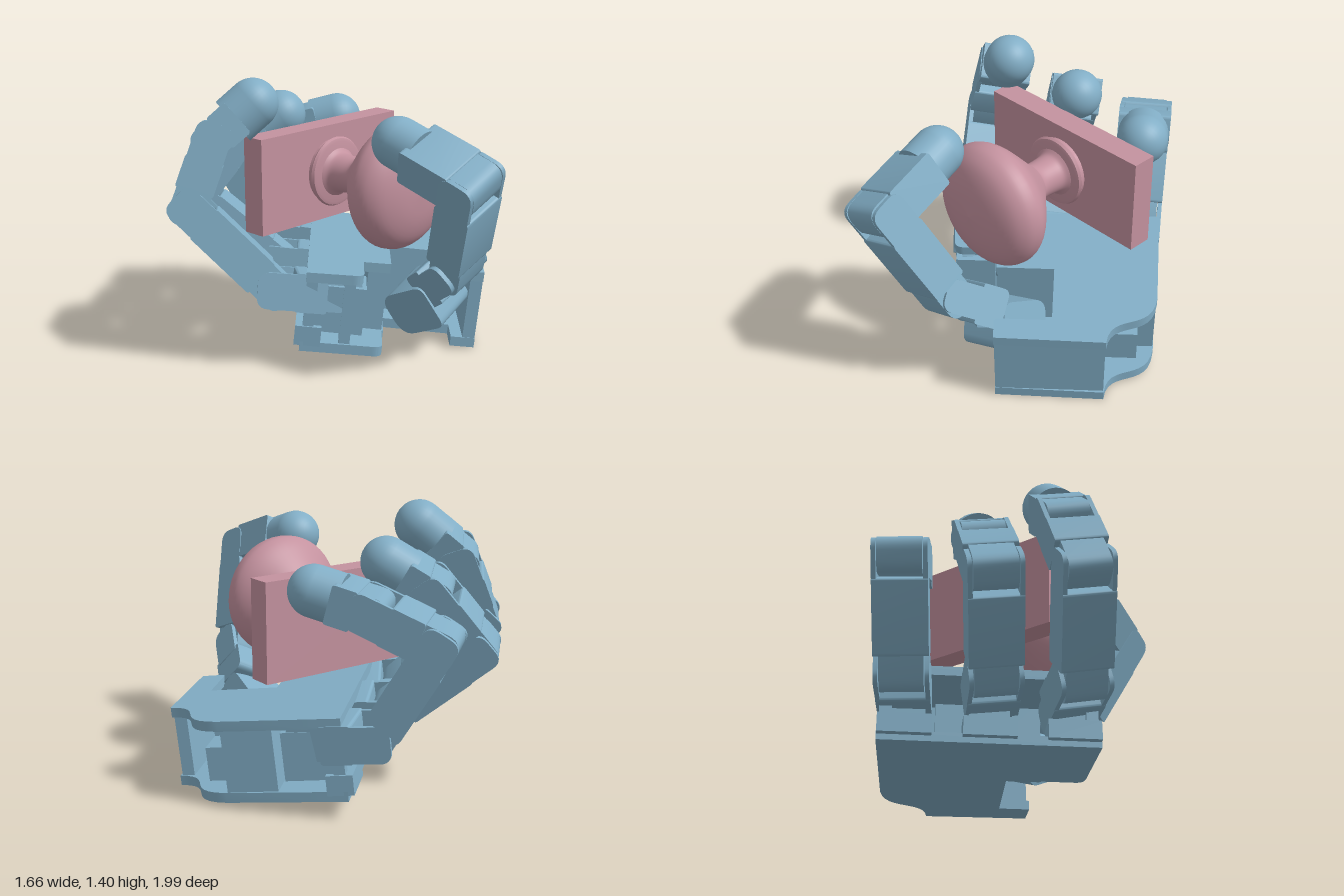
import * as THREE from 'three';
import { toCreasedNormals } from 'three/addons/utils/BufferGeometryUtils.js';

const blue = new THREE.MeshStandardMaterial({ color: 0x82aec6 });
const pink = new THREE.MeshStandardMaterial({ color: 0xc4929f });
const V = (x, y, z) => new THREE.Vector3(x, y, z);

function add(parent, name, geometry, material = blue, x = 0, y = 0, z = 0) {
  const mesh = new THREE.Mesh(geometry, material);
  mesh.name = name;
  mesh.position.set(x, y, z);
  parent.add(mesh);
  return mesh;
}

// box given by its min and max corners
function span(parent, name, x0, x1, y0, y1, z0, z1, material = blue) {
  return add(parent, name, new THREE.BoxGeometry(x1 - x0, y1 - y0, z1 - z0), material,
    (x0 + x1) / 2, (y0 + y1) / 2, (z0 + z1) / 2);
}

// slab along y with rounded ends, thickness t in x, width w in z
function slab(y0, y1, t, w, r0, r1) {
  const h = t / 2, s = new THREE.Shape();
  s.moveTo(-h + r0, y0);
  s.lineTo(h - r0, y0);
  s.quadraticCurveTo(h, y0, h, y0 + r0);
  s.lineTo(h, y1 - r1);
  s.quadraticCurveTo(h, y1, h - r1, y1);
  s.lineTo(-h + r1, y1);
  s.quadraticCurveTo(-h, y1, -h, y1 - r1);
  s.lineTo(-h, y0 + r0);
  s.quadraticCurveTo(-h, y0, -h + r0, y0);
  const g = new THREE.ExtrudeGeometry(s, { depth: w, bevelEnabled: false, curveSegments: 6 });
  g.translate(0, 0, -w / 2);
  return toCreasedNormals(g, 0.6);
}

// group whose y axis runs from p to q and whose z axis is the hinge axis
function boneGroup(name, p, q, hinge) {
  const g = new THREE.Group();
  g.name = name;
  const d = q.clone().sub(p).normalize();
  const z = hinge.clone().addScaledVector(d, -hinge.dot(d)).normalize();
  const x = d.clone().cross(z);
  g.quaternion.setFromRotationMatrix(new THREE.Matrix4().makeBasis(x, d, z));
  g.position.copy(p);
  return g;
}

// hinge barrel, body and two cheeks that grip the next link
function link(name, p, q, hinge) {
  const g = boneGroup(name, p, q, hinge), L = p.distanceTo(q);
  add(g, 'hingeBarrel', slab(-0.09, 0.16, 0.175, 0.21, 0.07, 0.01));
  add(g, 'body', slab(0.085, L - 0.1, 0.19, 0.262, 0.015, 0.015));
  for (const s of [-1, 1]) {
    add(g, 'cheek', slab(L - 0.2, L + 0.085, 0.18, 0.022, 0.01, 0.06), blue, 0, 0, s * 0.12);
  }
  return g;
}

// last link with its round rubber tip
function tipLink(name, p, q, hinge) {
  const g = boneGroup(name, p, q, hinge), L = p.distanceTo(q), r = 0.125;
  add(g, 'hingeBarrel', slab(-0.09, 0.12, 0.175, 0.21, 0.07, 0.01));
  add(g, 'body', slab(0.05, L - 0.1, 0.19, 0.255, 0.015, 0.015));
  add(g, 'tipCollar', new THREE.CylinderGeometry(r, r, 0.13, 32), blue, 0, L - 0.065, 0);
  add(g, 'tipBall', new THREE.SphereGeometry(r, 32, 20), blue, 0, L, 0);
  return g;
}

// heading: angle of the finger on plan; side: offset across it; lean: sideways tilt
// joints: [forward, height] of the knuckles and tip
function finger(name, heading, side, lean, joints) {
  const g = new THREE.Group();
  g.name = name;
  const f = V(-Math.cos(heading), 0, -Math.sin(heading));
  const l = V(Math.sin(heading), 0, -Math.cos(heading));
  const hinge = l.clone().add(V(0, -lean, 0)).normalize();
  const pts = joints.map(([a, y]) => f.clone().multiplyScalar(a)
    .addScaledVector(l, side + lean * (y - 0.385)).add(V(0, y, 0)));
  const root = pts[0].clone().addScaledVector(f, -0.34).add(V(0, -0.036, 0));
  g.add(link('baseLink', root, pts[0], hinge));
  g.add(link('lowerLink', pts[0], pts[1], hinge));
  g.add(link('middleLink', pts[1], pts[2], hinge));
  g.add(tipLink('tipLink', pts[2], pts[3], hinge));
  return g;
}

// palm plate; x across, z towards the wrist, with a notch for the thumb
// shoulder: how far the full width runs on the thumb side
function plate(notchX, shoulder, thickness) {
  const s = new THREE.Shape();
  s.moveTo(-0.54, 0);
  s.lineTo(0.54, 0);
  s.lineTo(0.51, 0.6);
  s.bezierCurveTo(0.48, 0.84, 0.28, 0.7, 0.26, 0.905);
  s.lineTo(-0.274, 0.895);
  s.lineTo(-0.28, 0.77);
  s.lineTo(notchX, 0.77);
  s.lineTo(notchX, 0.42);
  s.lineTo(-0.29, 0.42);
  s.lineTo(-0.3, shoulder + 0.02);
  s.lineTo(-0.47, shoulder + 0.02);
  s.quadraticCurveTo(-0.52, shoulder + 0.02, -0.52, shoulder - 0.04);
  s.closePath();
  const g = new THREE.ExtrudeGeometry(s, { depth: thickness, bevelEnabled: false, curveSegments: 12 });
  g.rotateX(Math.PI / 2);
  return toCreasedNormals(g, 0.6);
}

function palm() {
  const g = new THREE.Group();
  g.name = 'palm';
  g.position.set(0, 0.375, -0.21);
  g.rotation.set(0.105, 0.756, 0, 'YXZ');
  const top = 0.13, low = -0.28;
  add(g, 'palmPlate', plate(0, 0.26, 0.05), blue, 0, top, 0);
  add(g, 'backPlate', plate(-0.12, 0.39, 0.05), blue, 0, low + 0.05, 0);
  // wrist wall, inner core and side posts
  span(g, 'wristWall', -0.272, 0.258, low + 0.01, top - 0.01, 0.83, 0.893);
  span(g, 'core', 0.02, 0.25, low + 0.02, top - 0.02, 0.3, 0.7);
  span(g, 'sideMotor', 0.25, 0.42, -0.2, -0.03, 0.56, 0.7);
  span(g, 'outerPost', 0.24, 0.507, low + 0.01, top - 0.01, 0.34, 0.59);
  span(g, 'thumbPost', -0.285, 0.1, low + 0.01, top - 0.01, 0.31, 0.41);
  span(g, 'thumbSidePost', -0.515, -0.3, low + 0.01, top - 0.01, 0.19, 0.245);
  for (const s of [-1, 1]) {
    span(g, 'cornerPost', s * 0.5 - 0.03, s * 0.5 + 0.03, low + 0.01, top - 0.01, 0.005, 0.06);
  }
  // finger motors
  for (const x of [-0.409, 0, 0.409]) {
    span(g, 'fingerMotor', x - 0.1, x + 0.1, -0.18, 0.06, 0.03, 0.3);
    span(g, 'motorFoot', x - 0.13, x + 0.13, low + 0.03, -0.15, -0.03, 0.1);
  }
  return g;
}

function thumb() {
  const g = new THREE.Group();
  g.name = 'thumb';
  const hinge = V(0.91, 0.37, 0.03).normalize();
  const root = V(0.22, 0.4, 0.49), knuckle = V(0.13, 0.53, 0.68);
  const bend = V(-0.055, 1.01, 0.89), tip = V(-0.1, 1.15, 0.495);
  // swivel motor lying in the palm notch, with the arm that carries the thumb
  const m = boneGroup('swivel', V(0.25, 0.21, 0.28), V(0.24, 0.34, 0.56), hinge);
  add(m, 'swivelMotor', slab(-0.02, 0.28, 0.24, 0.27, 0.09, 0.05));
  g.add(m);
  const arm = boneGroup('swivelArm', V(0.3, 0.4, 0.5), V(0.3, 0.57, 0.42), hinge);
  add(arm, 'armPlate', slab(-0.06, 0.02, 0.24, 0.05, 0.02, 0.02));
  g.add(arm);
  const base = boneGroup('rootLink', root, knuckle, hinge);
  add(base, 'rootBody', slab(-0.03, 0.12, 0.2, 0.25, 0.04, 0.01));
  for (const s of [-1, 1]) {
    add(base, 'cheek', slab(0.1, 0.31, 0.16, 0.022, 0.01, 0.06), blue, 0, 0, s * 0.12);
  }
  g.add(base);
  g.add(link('lowerLink', knuckle, bend, hinge));
  g.add(tipLink('tipLink', bend, tip, hinge));
  return g;
}

// turned knob on a flat board
function doorKnob() {
  const g = new THREE.Group();
  g.name = 'doorKnob';
  span(g, 'board', -0.39, 0.59, 0.62, 1.11, -0.255, -0.13, pink);
  const curve = new THREE.SplineCurve([
    [0.125, -0.078], [0.103, -0.055], [0.096, -0.01], [0.096, 0.06], [0.12, 0.092], [0.175, 0.145],
    [0.23, 0.197], [0.28, 0.248], [0.308, 0.29], [0.316, 0.33], [0.3, 0.385], [0.245, 0.438],
    [0.14, 0.474], [0, 0.488],
  ].map(([r, z]) => new THREE.Vector2(r, z)));
  const pts = curve.getPoints(50).map(p => p.setX(Math.max(0, p.x)));
  const knob = new THREE.LatheGeometry(pts, 48).rotateX(Math.PI / 2);
  add(g, 'knob', knob, pink, 0.1, 0.87, 0);
  const rose = new THREE.LatheGeometry(
    [[0, -0.135], [0.165, -0.135], [0.165, -0.108], [0.175, -0.106], [0.182, -0.095], [0.175, -0.082],
      [0.16, -0.077], [0, -0.077]].map(([r, z]) => new THREE.Vector2(r, z)), 48).rotateX(Math.PI / 2);
  add(g, 'rose', toCreasedNormals(rose, 0.7), pink, 0.1, 0.87, 0);
  return g;
}

export function createModel() {
  const model = new THREE.Group();
  model.name = 'robotHandWithKnob';
  model.add(palm(), thumb(), doorKnob());
  model.add(finger('thumbSideFinger', 0.728, -0.251, 0.195,
    [[0.33, 0.385], [0.735, 0.785], [0.615, 1.105], [0.413, 1.275]]));
  model.add(finger('middleFinger', 0.815, 0.14, 0.125,
    [[0.315, 0.39], [0.735, 0.735], [0.51, 1.017], [0.286, 1.15]]));
  model.add(finger('outerFinger', 0.902, 0.545, 0.02,
    [[0.353, 0.39], [0.635, 0.86], [0.31, 1.0], [0.047, 1.07]]));
  return model;
}
